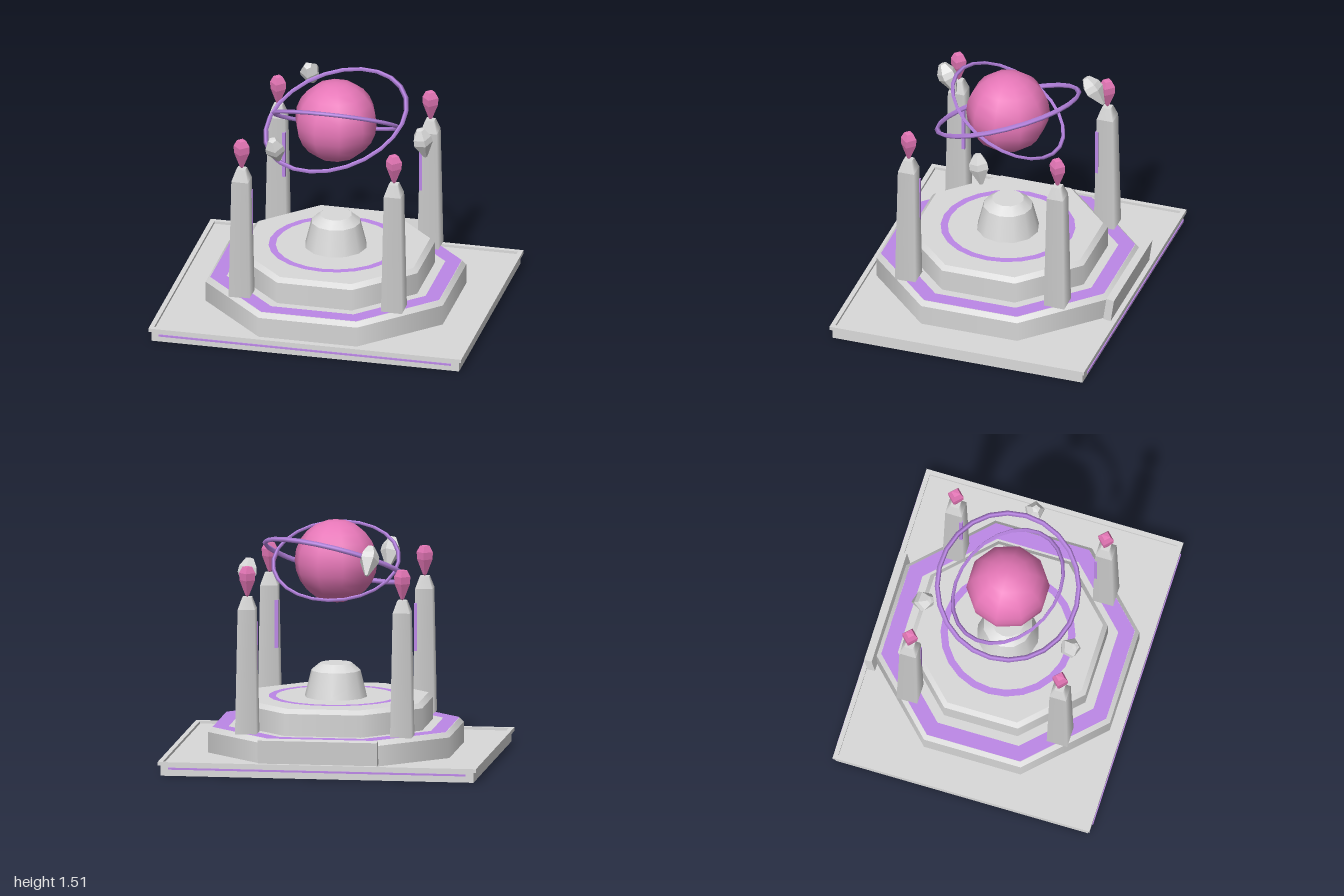
import * as THREE from 'three';
import { mergeGeometries } from 'three/addons/utils/BufferGeometryUtils.js';

const material = (name, color) => {
  const m = new THREE.MeshStandardMaterial({ color });
  m.name = name;
  return m;
};

// Stack of tapered prisms through [radius, y] points; sides stay smooth, rims stay sharp
function stack(profile, sides, turn = 0) {
  const parts = [];
  for (let i = 0; i < profile.length - 1; i++) {
    const [r0, y0] = profile[i], [r1, y1] = profile[i + 1];
    const g = new THREE.CylinderGeometry(r1, r0, y1 - y0, sides, 1, true, turn);
    parts.push(g.translate(0, (y0 + y1) / 2, 0));
  }
  const cap = ([r, y], up) => parts.push(new THREE.CircleGeometry(r, sides)
    .rotateZ(up ? turn - Math.PI / 2 : Math.PI / 2 - turn)
    .rotateX(up ? -Math.PI / 2 : Math.PI / 2).translate(0, y, 0));
  cap(profile[0], false);
  cap(profile[profile.length - 1], true);
  return mergeGeometries(parts);
}

// Faceted crystal turned from a profile
function crystal(profile, sides) {
  const points = profile.map(([r, y]) => new THREE.Vector2(r, y));
  const g = new THREE.LatheGeometry(points, sides).toNonIndexed();
  g.computeVertexNormals();
  return g;
}

export function createModel() {
  const stone = material('stone grey', 0xd9d9d9);
  const purple = material('glowing purple', 0xbd88e8);
  const pink = material('energy pink', 0xe878b9);

  const root = new THREE.Group();
  root.name = 'crystalShrine';
  const add = (name, geometry, mat, x = 0, y = 0, z = 0, parent = root) => {
    const mesh = new THREE.Mesh(geometry, mat);
    mesh.name = name;
    mesh.position.set(x, y, z);
    parent.add(mesh);
    return mesh;
  };
  const box = (w, h, d) => new THREE.BoxGeometry(w, h, d);

  // Floor plate held in a skirt that is open below, with a raised rim
  add('floorPlate', box(1.95, 0.016, 1.62), stone, 0, 0.063, 0);
  for (const s of [-1, 1]) {
    add('longSkirt', box(1.965, 0.07, 0.012), stone, 0, 0.035, s * 0.814);
    add('sideSkirt', box(0.012, 0.07, 1.616), stone, s * 0.9765, 0.035, 0);
    add('longRim', box(2, 0.023, 0.03), stone, 0, 0.0765, s * 0.82);
    add('sideRim', box(0.03, 0.023, 1.61), stone, s * 0.985, 0.0765, 0);
    add('baseLightStrip', box(1.87, 0.012, 0.007), purple, 0, 0.048, s * 0.836);
  }

  // Octagonal tiers, measured across their flats
  const oct = Math.PI / 8, toCorner = 1 / Math.cos(oct);
  const tier = (name, outer, inner, y0, y1, y2) => add(name,
    stack([[outer * toCorner, y0], [outer * toCorner, y1], [inner * toCorner, y2]], 8, oct), stone);
  tier('lowerTier', 0.758, 0.733, 0.07, 0.2, 0.228);
  tier('upperTier', 0.576, 0.548, 0.228, 0.367, 0.395);

  // Inlaid bands on the tier tops
  const band = (name, r0, r1, sides, turn, y) => add(name,
    new THREE.RingGeometry(r0, r1, sides, 1, turn).rotateX(-Math.PI / 2), purple, 0, y, 0);
  band('octagonInlay', 0.636 * toCorner, 0.732 * toCorner, 8, oct, 0.231);
  band('circleInlay', 0.375, 0.42, 24, 0, 0.398);

  // Central pedestal
  add('pedestal', stack([[0.196, 0.395], [0.155, 0.56], [0.1, 0.605]], 12), stone);

  // Leaning panel at the back
  add('backPanel', box(0.75, 0.152, 0.05), stone, 0, 0.163, -0.786).rotation.x = -0.14;

  // Four square pillars with a light strip on the inner corner and a crystal on top
  const pillarGeo = stack([[0.067, 0.228], [0.053, 1.01], [0.028, 1.085]]
    .map(([half, y]) => [half * Math.SQRT2, y]), 4, Math.PI / 4);
  const tipGeo = crystal([[0, 1.085], [0.012, 1.095], [0.049, 1.19], [0.051, 1.235], [0.03, 1.275], [0, 1.278]], 4);
  for (const sx of [-1, 1]) for (const sz of [-1, 1]) {
    const pillar = new THREE.Group();
    pillar.name = 'pillar';
    pillar.position.set(sx * 0.487, 0, sz * 0.488);
    root.add(pillar);
    add('pillarShaft', pillarGeo, stone, 0, 0, 0, pillar);
    add('pillarCrystal', tipGeo, pink, 0, 0, 0, pillar);
    add('pillarLightStrip', box(0.02, 0.34, 0.02), purple, -sx * 0.05, 0.75, -sz * 0.05, pillar);
  }

  // Floating orb with two tilted rings
  const centreY = 1.246;
  add('orb', new THREE.SphereGeometry(0.26, 10, 12), pink, 0, centreY, 0);
  const ring = (name, radius, tube, normal) => {
    const mesh = add(name, new THREE.TorusGeometry(radius, tube, 4, 24), purple, 0, centreY, 0);
    mesh.quaternion.setFromUnitVectors(new THREE.Vector3(0, 0, 1), normal.normalize());
  };
  ring('innerRing', 0.392, 0.013, new THREE.Vector3(0, 0.866, -0.5));
  ring('outerRing', 0.457, 0.016, new THREE.Vector3(-0.22, 1, 0.37));

  // Floating rock shards around the orb
  const shardGeo = crystal([[0, -0.105], [0.012, -0.1], [0.064, 0.005], [0.06, 0.045], [0.026, 0.1], [0, 0.103]], 5);
  const shards = [
    [0.555, 1.15, 0, 0.1, 0.5, 0.15],
    [-0.272, 1.228, 0.48, 0.45, 0.3, 0.1],
    [-0.275, 1.323, -0.475, 0.5, 1.2, 0.15],
  ];
  for (const [x, y, z, rx, ry, rz] of shards) {
    add('floatingShard', shardGeo, stone, x, y, z).rotation.set(rx, ry, rz);
  }
  return root;
}
